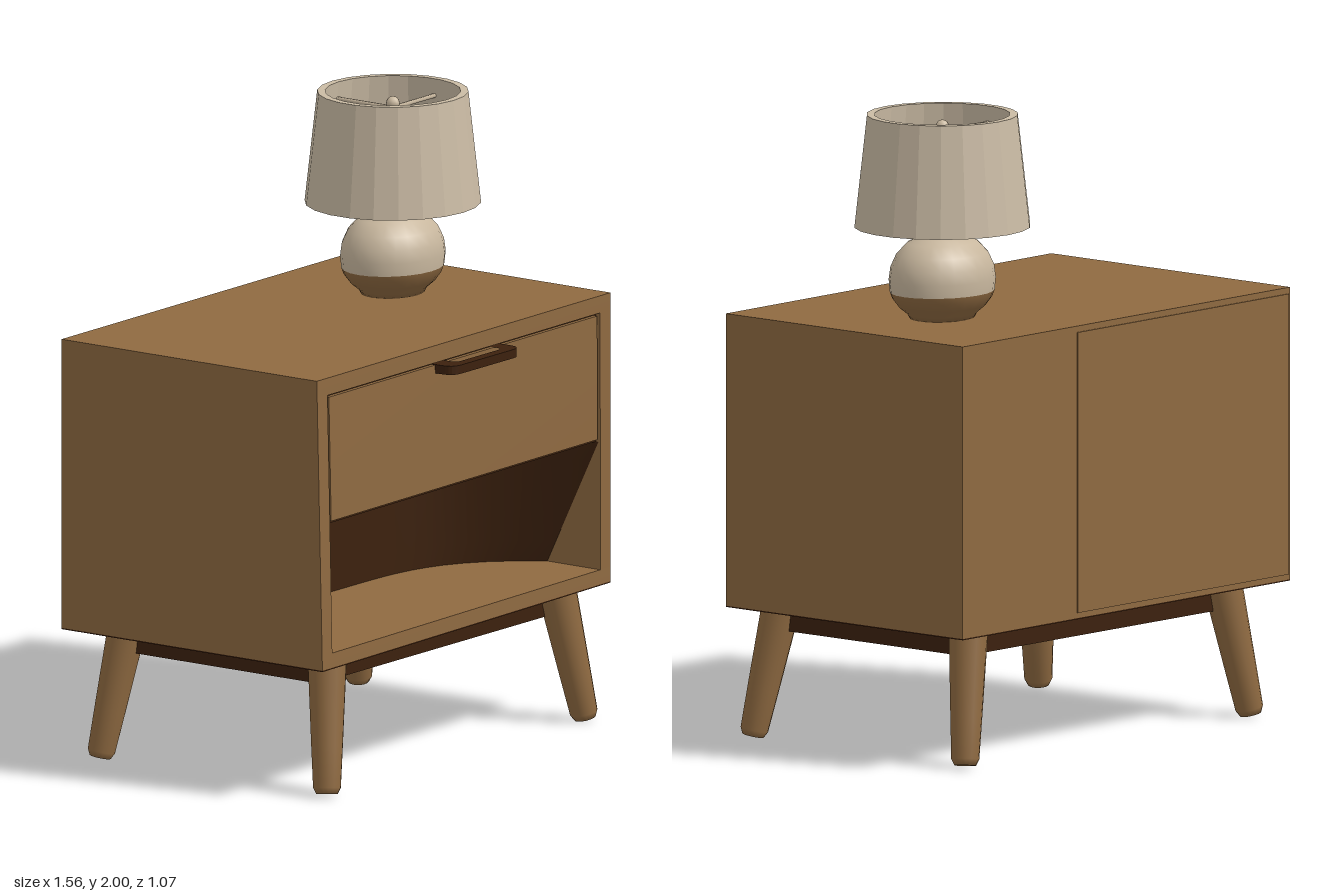
import * as THREE from 'three';

const mat = (name, color) => {
  const m = new THREE.MeshStandardMaterial({ color });
  m.name = name;
  return m;
};

export function createModel() {
  const wood = mat('oak wood', 0x8f6a41);
  const dark = mat('dark walnut', 0x3c210e);
  const linen = mat('linen', 0xcbbca5);
  const ceramic = mat('ceramic', 0xc8b79e);
  const root = new THREE.Group();

  const add = (parent, name, geo, material) => {
    const mesh = new THREE.Mesh(geo, material);
    mesh.name = name;
    parent.add(mesh);
    return mesh;
  };
  const group = (name) => {
    const g = new THREE.Group();
    g.name = name;
    root.add(g);
    return g;
  };
  const facet = (geo) => {
    const g = geo.index ? geo.toNonIndexed() : geo;
    g.computeVertexNormals();
    return g;
  };

  // The cabinet is slightly out of square: its right front corner leans forward.
  const skew = (geo) => {
    const p = geo.attributes.position;
    for (let i = 0; i < p.count; i++) {
      const x = p.getX(i), y = p.getY(i), z = p.getZ(i);
      const side = (0.78 - x) / 1.56;
      if (z > 0.4) p.setZ(i, z + side * (0.018 + 0.022 * (1.355 - y) / 0.93));
      if (z < -0.4) p.setZ(i, z + 0.01 * side);
    }
    geo.computeVertexNormals();
    return geo;
  };
  // Box given by its limits
  const box = (x0, x1, y0, y1, z0, z1) =>
    new THREE.BoxGeometry(x1 - x0, y1 - y0, z1 - z0)
      .translate((x0 + x1) / 2, (y0 + y1) / 2, (z0 + z1) / 2);

  // Cabinet shell
  const cabinet = group('cabinet');
  const B = -0.535, F = 0.456;
  add(cabinet, 'topPanel', skew(box(-0.78, 0.78, 1.3, 1.355, B, F)), wood);
  add(cabinet, 'bottomPanel', skew(box(-0.78, 0.78, 0.428, 0.475, B, F)), wood);
  add(cabinet, 'underside', skew(box(-0.78, 0.78, 0.424, 0.428, B, F)), dark);
  add(cabinet, 'rightSide', skew(box(-0.78, -0.725, 0.475, 1.3, B, F)), wood);
  add(cabinet, 'leftSide', skew(box(0.725, 0.78, 0.475, 1.3, B, F)), wood);
  add(cabinet, 'backBoard', skew(box(-0.725, 0.725, 0.475, 1.3, B, -0.515)), wood);
  add(cabinet, 'backPanel', skew(box(-0.77, 0.235, 0.445, 1.335, B - 0.004, B + 0.002)), wood);

  // Drawer with a dark gap around its front
  add(cabinet, 'drawerBox', skew(box(-0.725, 0.725, 0.885, 1.3, -0.514, 0.44)), dark);
  add(cabinet, 'drawerFront', skew(box(-0.715, 0.712, 0.895, 1.292, 0.42, 0.454)), wood);

  // Dark hollow back of the open shelf
  const hollow = new THREE.PlaneGeometry(1.45, 0.41, 24, 6);
  const hp = hollow.attributes.position;
  for (let i = 0; i < hp.count; i++) {
    const x = hp.getX(i), low = 0.5 - hp.getY(i) / 0.41;
    const bow = 1 - Math.pow(Math.abs(x) / 0.725, 4);
    hp.setXYZ(i, x, 0.68 + hp.getY(i), 0.45 - 0.2 * low - (0.48 - 0.2 * low) * bow);
  }
  hollow.computeVertexNormals();
  add(cabinet, 'shelfBack', hollow, dark);

  // Loop handle, flat with a slot
  const slab = (s, x0, x1, y0, y1, r) => {
    s.moveTo(x0, y0);
    s.lineTo(x0, y1 - r);
    s.quadraticCurveTo(x0, y1, x0 + r, y1);
    s.lineTo(x1 - r, y1);
    s.quadraticCurveTo(x1, y1, x1, y1 - r);
    s.lineTo(x1, y0);
    s.closePath();
    return s;
  };
  const handleShape = slab(new THREE.Shape(), -0.15, 0.21, 0.44, 0.535, 0.045);
  handleShape.holes.push(slab(new THREE.Path(), -0.085, 0.155, 0.445, 0.5, 0.025));
  const handle = new THREE.ExtrudeGeometry(handleShape, { depth: 0.028, bevelEnabled: false, curveSegments: 6 });
  handle.rotateX(Math.PI / 2).translate(0, 1.294, 0);
  add(cabinet, 'handle', handle, dark);

  // Base block and splayed legs
  const stand = group('stand');
  add(stand, 'apron', box(-0.62, 0.62, 0.34, 0.424, -0.4, 0.36), dark);
  const up = new THREE.Vector3(0, 1, 0);
  for (const sx of [-1, 1]) {
    for (const [zTop, zFoot, end] of [[0.38, 0.435, 'front'], [-0.4, -0.452, 'back']]) {
      const foot = new THREE.Vector3(sx * 0.675, 0.005, zFoot);
      const dir = new THREE.Vector3(sx * 0.6, 0.426, zTop).sub(foot);
      const len = dir.length();
      const profile = [[0, 0], [0.034, 0], [0.044, 0.02], [0.05, 0.15], [0.062, len]]
        .map(([r, y]) => new THREE.Vector2(r, y));
      const leg = add(stand, end + (sx > 0 ? 'LeftLeg' : 'RightLeg'), new THREE.LatheGeometry(profile, 16), wood);
      leg.position.copy(foot);
      leg.quaternion.setFromUnitVectors(up, dir.normalize());
    }
  }

  // Table lamp
  const lamp = group('lamp');
  lamp.position.set(0.385, 0, -0.1);
  const lathe = (pts, n) => new THREE.LatheGeometry(pts.map(([r, y]) => new THREE.Vector2(r, y)), n);
  const foot = lathe([[0, 1.355], [0.112, 1.355], [0.12, 1.37], [0.15, 1.393], [0.172, 1.42], [0.18, 1.44]], 24);
  const bulge = lathe([[0.18, 1.44], [0.184, 1.48], [0.178, 1.52], [0.158, 1.56], [0.122, 1.595], [0.07, 1.617], [0.04, 1.624]], 24);
  add(lamp, 'lampFoot', foot.scale(1, 1, 0.84), wood);
  add(lamp, 'lampBody', bulge.scale(1, 1, 0.84), ceramic);
  add(lamp, 'neck', lathe([[0.045, 1.615], [0.03, 1.63], [0.042, 1.65], [0.05, 1.675], [0.02, 1.69], [0, 1.69]], 14), ceramic);
  add(lamp, 'stem', new THREE.CylinderGeometry(0.012, 0.012, 0.3, 8).translate(0, 1.82, 0), ceramic);
  add(lamp, 'finial', new THREE.SphereGeometry(0.022, 10, 8).translate(0, 1.96, 0), ceramic);

  // Hollow faceted shade
  const shade = lathe([[0.28, 1.645], [0.24, 2], [0.215, 2], [0.252, 1.645], [0.28, 1.645]], 22);
  add(lamp, 'shade', facet(shade).scale(1, 1, 0.985), linen);

  // Spokes that carry the shade, near the top and the bottom
  for (const [y, length] of [[1.945, 0.44], [1.67, 0.5]]) {
    for (const turn of [0, Math.PI / 2]) {
      const spoke = new THREE.CylinderGeometry(0.007, 0.007, length, 6);
      spoke.rotateZ(Math.PI / 2).rotateY(turn).translate(0, y, 0);
      add(lamp, 'shadeSpoke', spoke, ceramic);
    }
  }
  return root;
}
